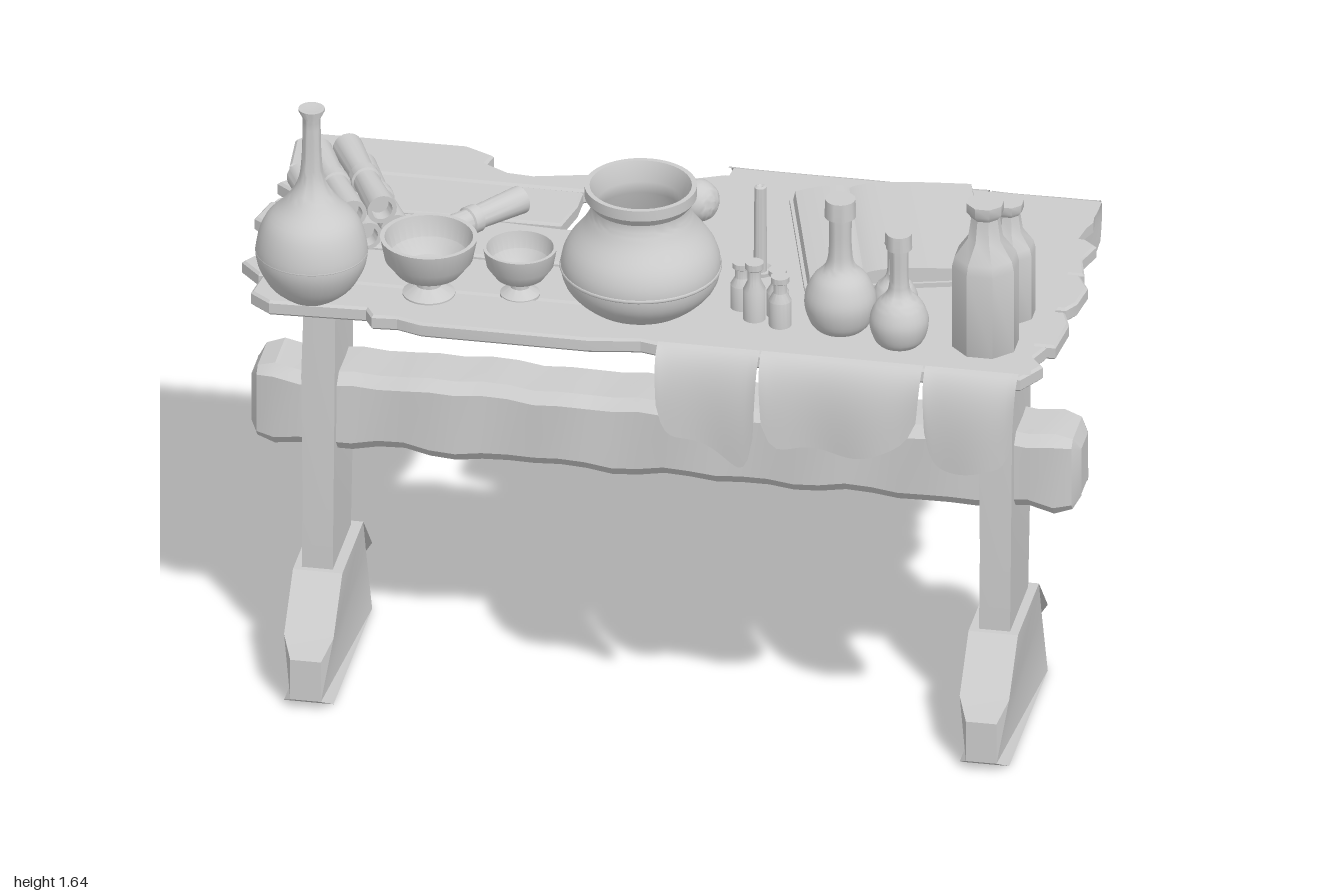
import * as THREE from 'three';
import { toCreasedNormals } from 'three/addons/utils/BufferGeometryUtils.js';

const V2 = (p) => new THREE.Vector2(p[0], p[1]);
const TOP = 1.143;

export function createModel() {
  const root = new THREE.Group();
  const mat = new THREE.MeshStandardMaterial({ color: 0xcccccc });
  const clothMat = new THREE.MeshStandardMaterial({ color: 0xcccccc, side: THREE.DoubleSide });

  function add(name, geo, x = 0, y = 0, z = 0, m = mat) {
    const mesh = new THREE.Mesh(geo, m);
    mesh.name = name;
    mesh.position.set(x, y, z);
    root.add(mesh);
    return mesh;
  }
  // move every vertex by a rule, then rebuild sharp normals
  function warp(geo, rule, crease = 0.4) {
    const p = geo.attributes.position, v = new THREE.Vector3();
    for (let i = 0; i < p.count; i++) {
      rule(v.fromBufferAttribute(p, i));
      p.setXYZ(i, v.x, v.y, v.z);
    }
    geo.computeVertexNormals();
    return toCreasedNormals(geo, crease);
  }
  // outline in (z, y), extruded along x and centred on x = 0
  function sideExtrude(pts, depth, opts = {}) {
    const g = new THREE.ExtrudeGeometry(new THREE.Shape(pts.map(([z, y]) => new THREE.Vector2(-z, y))),
      { depth, bevelEnabled: false, ...opts });
    return g.translate(0, 0, -depth / 2).rotateY(Math.PI / 2);
  }
  // smooth body curve followed by straight-sided rim points
  function lathe(body, rest = [], seg = 32, smooth = true) {
    const pts = smooth ? new THREE.SplineCurve(body.map(V2)).getPoints(body.length * 4) : body.map(V2);
    pts.forEach((p) => { p.x = Math.max(0, p.x); });
    return toCreasedNormals(new THREE.LatheGeometry([new THREE.Vector2(0, body[0][1]), ...pts, ...rest.map(V2)], seg), 0.6);
  }
  function lay(mesh, dx, dz) {
    mesh.quaternion.setFromUnitVectors(new THREE.Vector3(0, 1, 0), new THREE.Vector3(dx, 0, dz).normalize());
  }

  // --- trestles: foot and leg on each side
  const half = [[0.24, 0], [0.28, 0.025], [0.28, 0.13], [0.24, 0.175], [0.13, 0.29]];
  const footPts = [...half, ...half.map(([z, y]) => [-z, y]).reverse()];
  const legPts = [[0.115, 0.28], [0.118, 0.5], [0.114, 0.8], [0.108, 1.06], [0.085, 1.105],
    [-0.085, 1.105], [-0.107, 1.07], [-0.11, 0.6], [-0.116, 0.4], [-0.11, 0.28]];
  for (const s of [-1, 1]) {
    const name = s > 0 ? 'left' : 'right';
    add(name + 'Foot', warp(sideExtrude(footPts, 0.118), (v) => { if (Math.abs(v.z) > 0.26) v.x *= 0.62; }), s * 0.806);
    add(name + 'Leg', warp(sideExtrude(legPts, 0.074), (v) => {
      v.x += 0.004 * Math.sin(v.y * 13);
      if (v.y > 1.1) v.x *= 0.8;
    }), s * 0.808);
  }

  // --- stretcher beam with hewn, wavy edges
  const beamPts = [[-0.06, 0.59], [0.07, 0.59], [0.09, 0.615], [0.09, 0.775], [0.065, 0.8], [-0.06, 0.8], [-0.08, 0.775], [-0.08, 0.61]];
  const beam = sideExtrude(beamPts, 1.86, { steps: 30, bevelEnabled: true, bevelThickness: 0.06,
    bevelSize: 0.045, bevelOffset: -0.045, bevelSegments: 2 });
  add('stretcherBeam', warp(beam, (v) => {
    v.x += 0.01;
    if (Math.abs(v.x) > 0.9) return;
    const w = Math.sin(v.x * 17) + Math.sin(v.x * 29 + 1);
    if (v.y < 0.65) v.y += 0.007 * (1 + w * 0.7);
    else v.y -= 0.007 * (1 + Math.sin(v.x * 13) * Math.cos(v.x * 23));
    v.z += 0.004 * Math.sin(v.x * 21 + v.y * 9);
  }));

  // --- weathered planks, outlines in (x, z)
  const planks = [
    [[-0.96, -0.4], [-0.93, -0.44], [-0.56, -0.445], [-0.49, -0.41], [-0.5, -0.37], [-0.44, -0.335], [-0.38, -0.33], [-0.26, -0.36],
      [-0.05, -0.37], [0.06, -0.42], [0.3, -0.44], [0.94, -0.44], [0.95, -0.36], [0.92, -0.28], [-0.09, -0.275], [-0.12, -0.31],
      [-0.19, -0.325], [-0.25, -0.28], [-0.95, -0.277]],
    [[-0.94, -0.265], [-0.25, -0.267], [-0.25, -0.2], [-0.27, -0.1], [-0.95, -0.095], [-0.91, -0.14], [-0.96, -0.18], [-0.91, -0.23]],
    [[-0.12, -0.23], [-0.08, -0.265], [0.95, -0.268], [0.98, -0.24], [0.96, -0.17], [0.98, -0.095], [-0.02, -0.095], [-0.04, -0.13], [-0.12, -0.16]],
    [[-0.96, -0.085], [-0.4, -0.088], [-0.26, -0.08], [-0.18, -0.09], [0.97, -0.087], [1, -0.03], [0.99, 0.05], [0.97, 0.085],
      [-0.92, 0.085], [-0.94, 0.03], [-0.98, 0]],
    [[-0.95, 0.096], [0.97, 0.095], [0.99, 0.15], [0.98, 0.265], [-0.92, 0.265], [-0.97, 0.21], [-0.93, 0.15]],
    [[-0.91, 0.276], [0.96, 0.276], [0.94, 0.33], [0.97, 0.37], [0.93, 0.44], [0.4, 0.445], [0.1, 0.44], [0.02, 0.42], [-0.1, 0.44],
      [-0.5, 0.44], [-0.56, 0.42], [-0.62, 0.425], [-0.64, 0.39], [-0.87, 0.4], [-0.92, 0.36]],
  ];
  planks.forEach((pts, i) => {
    const g = new THREE.ExtrudeGeometry(new THREE.Shape(pts.map(([x, z]) => new THREE.Vector2(x, -z))),
      { depth: 0.026, bevelThickness: 0.006, bevelSize: 0.006, bevelOffset: -0.005, bevelSegments: 1 });
    add('tablePlank' + (i + 1), toCreasedNormals(g.rotateX(-Math.PI / 2), 0.4), 0, 1.112 + (i % 2) * 0.003, 0);
  });

  // --- cloth: flat sheet plus torn hanging panels
  const sheet = (fn, nu, nv) => {
    const g = new THREE.PlaneGeometry(1, 1, nu, nv);
    const p = g.attributes.position;
    for (let i = 0; i < p.count; i++) p.setXYZ(i, ...fn(p.getX(i) + 0.5, p.getY(i) + 0.5));
    g.computeVertexNormals();
    return g;
  };
  add('clothTop', sheet((u, v) => {
    const z = -0.435 + 0.87 * v;
    const x0 = 0.07 + 0.012 * Math.sin(z * 9), x1 = 0.945 + 0.012 * Math.sin(z * 14 + 1);
    return [x0 + (x1 - x0) * u, 1.154, z];
  }, 10, 24), 0, 0, 0, clothMat);
  const panels = [ // side, x0, x1, drop, extra drop at the left edge
    [1, 0.065, 0.308, 0.25, -0.05], [1, 0.312, 0.698, 0.225, 0.015], [1, 0.703, 0.925, 0.24, 0],
    [-1, 0.065, 0.685, 0.21, 0.02], [-1, 0.693, 0.95, 0.22, 0.01],
  ];
  for (const [side, x0, x1, drop, tilt] of panels) {
    add(side > 0 ? 'clothFrontPanel' : 'clothBackPanel', sheet((u, v) => {
      const t = 2 * u - 1;
      const x = (x0 + x1) / 2 + (x1 - x0) / 2 * t * (1 - 0.05 * v * v);
      const d = (drop - tilt * t + 0.012 * Math.sin(x * 26)) * (1 - 0.35 * Math.pow(t, 8));
      const z = 0.435 + 0.055 * (1 - Math.pow(1 - v, 3)) + 0.008 * v * Math.sin(x * 24);
      return [x, 1.154 - d * Math.pow(v, 1.5), side * z];
    }, 20, 12), 0, 0, 0, clothMat);
  }

  // --- long-necked flask
  add('tallFlask', lathe([[0.06, 0], [0.1, 0.035], [0.128, 0.09], [0.13, 0.14], [0.11, 0.2], [0.065, 0.25], [0.034, 0.3], [0.024, 0.36], [0.021, 0.46]],
    [[0.021, 0.47], [0.031, 0.49], [0.031, 0.495], [0.022, 0.495], [0, 0.49]]), -0.78, TOP, 0.34);
  add('flaskBand', new THREE.TorusGeometry(0.129, 0.004, 6, 32).rotateX(Math.PI / 2), -0.78, TOP + 0.12, 0.34);

  // --- footed bowls
  const bowl = [[0.062, 0], [0.062, 0.008], [0.03, 0.028], [0.03, 0.042], [0.075, 0.062], [0.104, 0.1], [0.115, 0.155],
    [0.104, 0.155], [0.092, 0.105], [0.06, 0.075], [0, 0.068]];
  for (const [x, z, s, h] of [[-0.51, 0.29, 1, 1], [-0.3, 0.25, 0.76, 0.82]])
    add('bowl', lathe(bowl, [], 32, false).scale(s, h, s), x, TOP, z);

  // --- big round pot
  add('pot', lathe([[0.08, 0], [0.13, 0.025], [0.175, 0.07], [0.188, 0.12], [0.175, 0.17], [0.135, 0.225], [0.117, 0.26]],
    [[0.117, 0.28], [0.132, 0.3], [0.132, 0.327], [0.12, 0.327], [0.102, 0.28], [0.104, 0.25], [0.155, 0.17], [0.165, 0.12], [0.11, 0.03], [0, 0.02]], 40), -0.01, TOP, 0.26);
  add('potBand', new THREE.TorusGeometry(0.186, 0.005, 6, 40).rotateX(Math.PI / 2), -0.01, TOP + 0.115, 0.26);

  // --- small vials
  for (const [x, z, h] of [[0.225, 0.23, 0.13], [0.265, 0.28, 0.16], [0.33, 0.3, 0.14], [0.315, 0.25, 0.13]])
    add('vial', lathe([[0.027, 0], [0.027, h * 0.55], [0.016, h * 0.7], [0.016, h * 0.87], [0.022, h * 0.9], [0.022, h], [0, h]], [], 16, false), x, TOP, z);

  // --- round bottles, r = bulb radius, h = height
  const roundBottle = (r, h) => lathe([[r * 0.5, 0], [r * 0.85, r * 0.35], [r, r], [r * 0.8, r * 1.6], [r * 0.42, r * 2.05], [r * 0.32, r * 2.6], [r * 0.32, h * 0.84]],
    [[r * 0.32, h * 0.86], [r * 0.44, h * 0.87], [r * 0.42, h], [0, h]], 24);
  for (const [x, z, r, h] of [[0.47, 0.28, 0.085, 0.35], [0.62, 0.33, 0.07, 0.3], [0.585, 0.2, 0.055, 0.23]])
    add('roundBottle', roundBottle(r, h), x, TOP, z);

  // --- eight-sided bottles
  for (const [x, z, s, h] of [[0.82, 0.3, 1, 1], [0.845, 0.14, 0.8, 0.79]])
    add('octagonalBottle', lathe([[0.074, 0], [0.08, 0.012], [0.08, 0.225], [0.074, 0.25], [0.042, 0.295], [0.034, 0.35], [0.045, 0.365], [0.045, 0.388], [0, 0.388]], [], 8, false)
      .rotateY(Math.PI / 8).scale(s, h, s), x, TOP, z);

  // --- candle on a little dish
  add('candle', lathe([[0.034, 0], [0.036, 0.02], [0.028, 0.02], [0.02, 0.012], [0.016, 0.014], [0.014, 0.235], [0.008, 0.238], [0, 0.232]], [], 14, false), 0.235, TOP, 0.05);

  // --- open book: cover, page block with a shallow gully, ribbon
  const book = new THREE.Group();
  book.name = 'book';
  book.position.set(0.51, 1.156, -0.135);
  book.rotation.y = 0.27;
  const page = new THREE.Shape();
  page.moveTo(-0.212, 0.01);
  page.lineTo(0.212, 0.01);
  page.lineTo(0.207, 0.036);
  page.bezierCurveTo(0.1, 0.045, -0.04, 0.06, -0.08, 0.038);
  page.bezierCurveTo(-0.1, 0.055, -0.16, 0.045, -0.207, 0.034);
  const pages = new THREE.ExtrudeGeometry(page, { depth: 0.425, bevelEnabled: false, curveSegments: 10 });
  const parts = [['bookCover', new THREE.BoxGeometry(0.44, 0.012, 0.44).translate(0, 0.005, 0)],
    ['bookPages', toCreasedNormals(pages.translate(0, 0, -0.2125), 0.5)],
    ['bookRibbon', new THREE.BoxGeometry(0.016, 0.004, 0.05).translate(-0.08, 0.012, -0.235)]];
  for (const [n, g] of parts) {
    const m = new THREE.Mesh(g, mat);
    m.name = n;
    book.add(m);
  }
  root.add(book);

  // --- small flask lying on its side
  const lying = add('lyingFlask', lathe([[0.012, -0.05], [0.038, -0.035], [0.052, 0], [0.04, 0.033], [0.021, 0.055], [0.019, 0.1]],
    [[0.019, 0.11], [0.027, 0.118], [0.027, 0.138], [0, 0.138]], 24), 0.04, TOP + 0.052, -0.19);
  lay(lying, -0.13, -0.045);

  // --- rolled scrolls: hollow, slightly flared, tied in the middle
  const scrollGeo = (r, L) => {
    const h = L / 2;
    const outer = [[r * 0.65, -h + 0.03], [r * 0.7, -h], [r, -h], [r * 0.86, -0.03], [r * 0.86, -0.016], [r, -0.013], [r, 0.013], [r * 0.86, 0.016],
      [r * 0.86, 0.03], [r, h], [r * 0.7, h], [r * 0.65, h - 0.03], [0, h - 0.03]];
    return lathe(outer, [], 18, false);
  };
  const dir = [0.43, 0.9], perp = [0.9, -0.43];
  const pile = [[-1, 0], [0, 0], [1, 0], [-0.5, 1], [0.5, 1]];
  pile.forEach(([k, row], i) => {
    const slide = 0.012 * Math.sin(i * 2.3);
    const s = add('scroll', scrollGeo(0.036, 0.32), -0.765 + perp[0] * k * 0.074 + dir[0] * slide,
      TOP + 0.036 + row * 0.063, -0.05 + perp[1] * k * 0.074 + dir[1] * slide);
    lay(s, ...dir);
  });
  lay(add('looseScroll', scrollGeo(0.034, 0.3), -0.468, TOP + 0.034, -0.03), 0.19, -0.24);

  return root;
}
